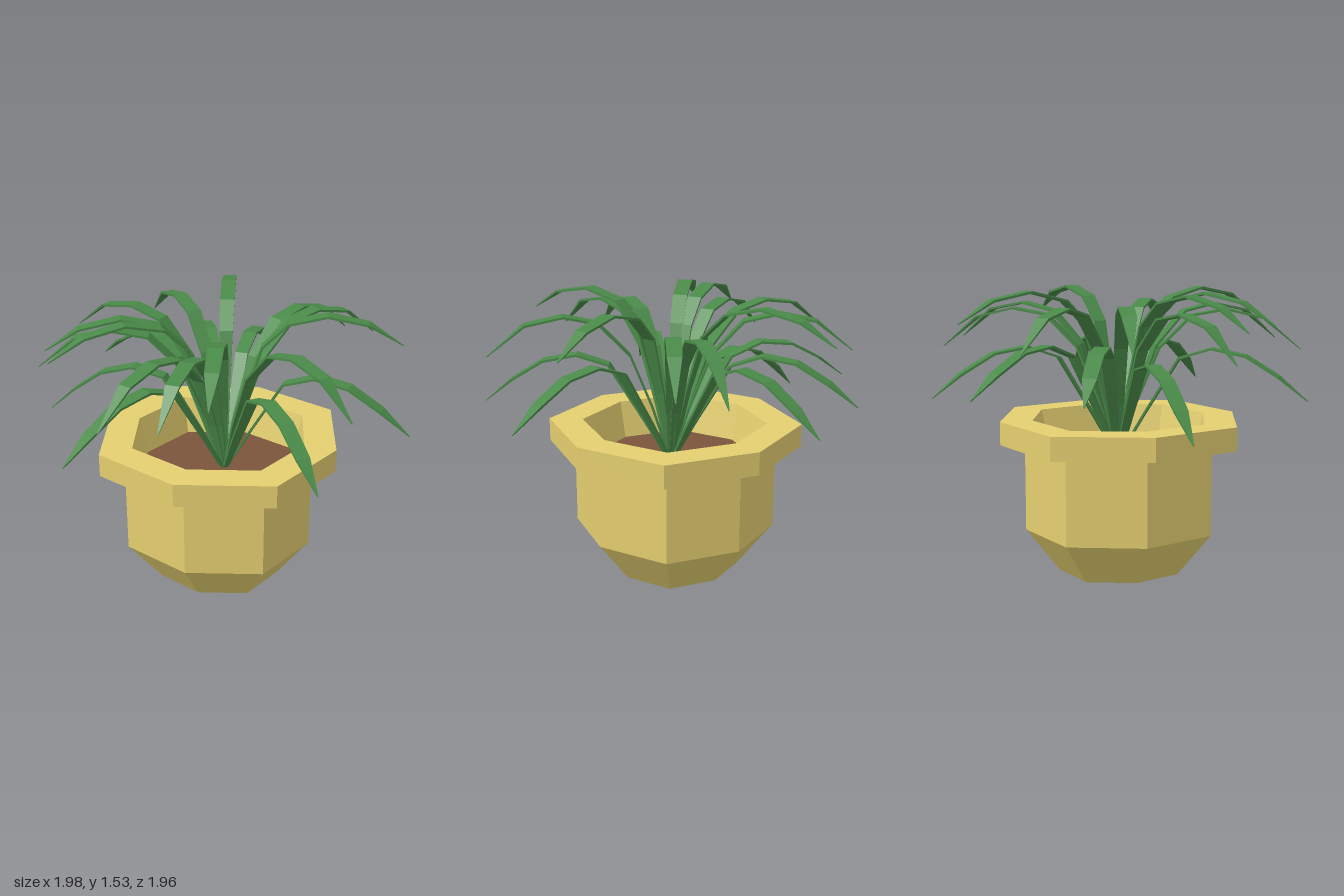
import * as THREE from 'three';

const mat = (name, color) => {
  const m = new THREE.MeshStandardMaterial({ color, flatShading: true });
  m.name = name;
  return m;
};

// Leaf arcs as [distance from stem, height], base to tip
const ARCS = {
  low: [[0, 0.6], [0.14, 0.85], [0.33, 1.17], [0.5, 1.23], [0.68, 1.2], [0.85, 1.1], [1.0, 0.98]],
  mid: [[0, 0.6], [0.1, 0.92], [0.22, 1.22], [0.39, 1.4], [0.57, 1.44], [0.77, 1.4], [0.97, 1.24]],
  high: [[0, 0.6], [0.1, 1.02], [0.2, 1.34], [0.33, 1.47], [0.53, 1.52], [0.74, 1.48], [0.92, 1.37]],
};
const HALF_WIDTHS = [0.014, 0.026, 0.036, 0.04, 0.04, 0.036, 0.002];
const HALF_THICKNESS = [0.006, 0.006, 0.006, 0.006, 0.006, 0.006, 0.002];

// Each leaf: arc, tip x, tip z, tip height
const LEAVES = [
  ['low', -0.24, -0.98, 0.98], ['mid', 0.26, -0.95, 1.2], ['mid', 0.48, -0.85, 1.24],
  ['high', 0.84, -0.39, 1.37], ['low', 0.99, -0.17, 0.98], ['mid', 0.9, 0.36, 1.24],
  ['low', 0.84, 0.57, 0.94], ['high', 0.41, 0.83, 1.37], ['mid', 0.19, 0.91, 1.24],
  ['mid', -0.1, 0.98, 1.2], ['low', -0.34, 0.96, 0.95], ['high', -0.59, 0.72, 1.36],
  ['high', -0.75, 0.55, 1.34], ['mid', -0.87, 0.47, 1.2], ['low', -0.99, 0.25, 0.85],
  ['mid', -0.98, -0.03, 1.27], ['low', -0.97, -0.25, 1.03], ['mid', -0.8, -0.53, 1.25],
  ['low', -0.65, -0.77, 1.02], ['high', -0.44, -0.83, 1.37],
];

// Thin four-sided blade that follows an arc towards its tip
function leafGeometry(arc, tipX, tipZ, tipY) {
  const [endR, endY] = ARCS[arc].at(-1);
  const len = Math.hypot(tipX, tipZ);
  const dx = tipX / len, dz = tipZ / len;
  const path = ARCS[arc].map(([d, h]) =>
    new THREE.Vector2(d * len / endR, h + (tipY - endY) * d / endR));
  const pos = [], index = [];
  path.forEach((p, i) => {
    const along = path[Math.min(i + 1, path.length - 1)].clone()
      .sub(path[Math.max(i - 1, 0)]).normalize();
    for (const [side, up] of [[1, 1], [-1, 1], [-1, -1], [1, -1]]) {
      const w = side * HALF_WIDTHS[i], t = up * HALF_THICKNESS[i];
      const r = p.x - along.y * t;
      pos.push(dx * r - dz * w, p.y + along.x * t, dz * r + dx * w);
    }
    if (i === 0) return;
    for (let k = 0; k < 4; k++) {
      const a = 4 * (i - 1) + k, b = 4 * (i - 1) + (k + 1) % 4;
      index.push(a, a + 4, b, b, a + 4, b + 4);
    }
  });
  const g = new THREE.BufferGeometry();
  g.setAttribute('position', new THREE.Float32BufferAttribute(pos, 3));
  g.setIndex(index);
  g.computeVertexNormals();
  return g;
}

// Eight-sided turned shape whose diagonal corners stand out a little
function octagonGeometry(profile) {
  const g = new THREE.LatheGeometry(
    profile.map(([x, y]) => new THREE.Vector2(x, y)), 8, THREE.MathUtils.degToRad(10));
  const p = g.attributes.position;
  for (let v = 0; v < p.count; v++) {
    const k = Math.floor(v / profile.length) % 2 ? 1.055 : 1;
    p.setXYZ(v, p.getX(v) * k, p.getY(v), p.getZ(v) * k);
  }
  g.computeVertexNormals();
  return g;
}

export function createModel() {
  const model = new THREE.Group();
  model.name = 'pottedPlant';
  const clay = mat('ochreClay', 0xe4cf70);
  const earth = mat('brownSoil', 0x7b553c);
  const green = mat('leafGreen', 0x4a8a49);

  // Pot with a broad rim, filled with soil
  const pot = new THREE.Group();
  pot.name = 'pot';
  pot.position.set(-0.025, 0, 0.005);
  model.add(pot);
  const addRing = (name, profile, material) => {
    const mesh = new THREE.Mesh(octagonGeometry(profile), material);
    mesh.name = name;
    pot.add(mesh);
  };
  addRing('potBody', [[0, 0], [0.34, 0], [0.523, 0.24], [0.523, 0.71]], clay);
  addRing('potRim', [[0.523, 0.71], [0.655, 0.71], [0.655, 0.835], [0.48, 0.835], [0.435, 0.62]], clay);
  addRing('soil', [[0.438, 0.63], [0, 0.63]], earth);

  // Arching leaves
  const leaves = new THREE.Group();
  leaves.name = 'leaves';
  model.add(leaves);
  for (const leaf of LEAVES) {
    const mesh = new THREE.Mesh(leafGeometry(...leaf), green);
    mesh.name = 'leaf';
    leaves.add(mesh);
  }
  return model;
}
